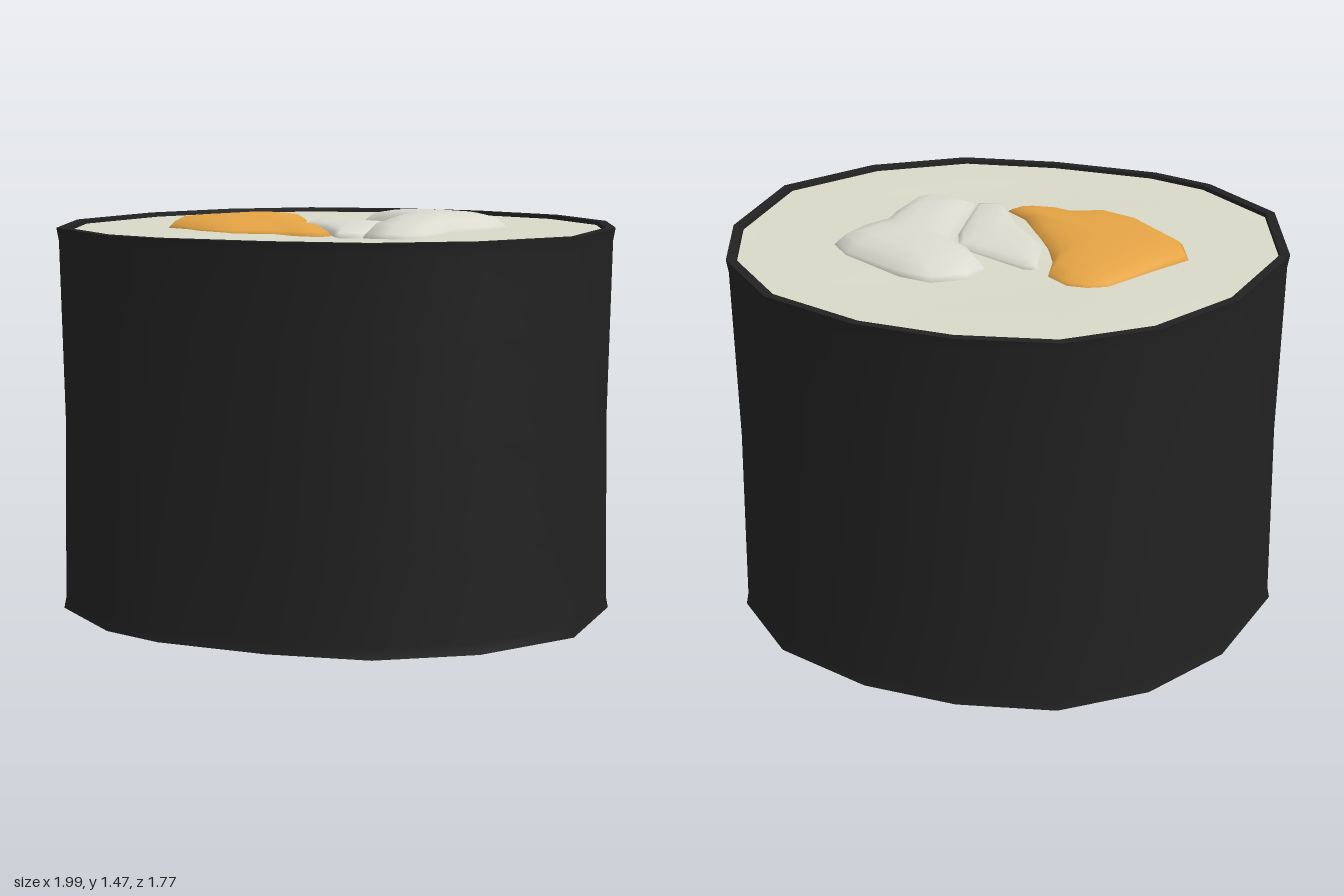
import * as THREE from 'three';
import { mergeGeometries } from 'three/addons/utils/BufferGeometryUtils.js';

const TOP = 1.425, BOTTOM = 0.05, SUM = TOP + BOTTOM; // mirror: y -> SUM - y

const wrapOutline = [
  [-0.01, -0.885], [0.33, -0.835], [0.68, -0.67], [0.91, -0.385], [0.995, -0.05], [0.945, 0.40],
  [0.68, 0.70], [0.35, 0.865], [-0.01, 0.885], [-0.41, 0.84], [-0.63, 0.75], [-0.90, 0.49],
  [-0.995, 0.07], [-0.87, -0.37], [-0.65, -0.67], [-0.36, -0.85],
];
const orangeOutline = [
  [-0.65, 0], [-0.55, -0.14], [-0.42, -0.33], [-0.35, -0.355], [-0.28, -0.345], [-0.20, -0.27],
  [-0.19, -0.14], [-0.15, -0.02], [-0.07, 0.14], [-0.01, 0.27], [0.07, 0.35], [0.04, 0.39],
  [-0.06, 0.39], [-0.14, 0.36], [-0.28, 0.40], [-0.43, 0.33], [-0.61, 0.14],
];
const narrowOutline = [
  [-0.16, -0.22], [-0.11, -0.225], [0.16, -0.08], [0.19, 0.05], [0.19, 0.39],
  [0.11, 0.41], [0.08, 0.37], [-0.01, 0.18], [-0.14, -0.01],
];
const wideOutline = [
  [0.01, -0.26], [0.06, -0.34], [0.18, -0.39], [0.30, -0.36], [0.53, -0.22], [0.60, -0.12],
  [0.55, 0], [0.47, 0.10], [0.46, 0.20], [0.41, 0.40], [0.36, 0.45], [0.28, 0.43],
  [0.19, 0.39], [0.18, -0.06], [0.06, -0.17],
];

// Joins rings of points with smooth quads; a flipped surface is mirrored to the underside
function loft(rings, flip = false) {
  const n = rings[0].length, pos = [], idx = [];
  for (const ring of rings) for (const [x, y, z] of ring) pos.push(x, flip ? SUM - y : y, z);
  const tri = (a, b, c) => (flip ? idx.push(a, c, b) : idx.push(a, b, c));
  for (let r = 0; r < rings.length - 1; r++) {
    for (let i = 0; i < n; i++) {
      const j = (i + 1) % n, a = r * n, b = a + n;
      tri(a + i, b + i, a + j);
      tri(a + j, b + i, b + j);
    }
  }
  const geo = new THREE.BufferGeometry();
  geo.setAttribute('position', new THREE.Float32BufferAttribute(pos, 3));
  geo.setIndex(idx);
  geo.computeVertexNormals();
  return geo;
}

// Outline shrunk towards a centre, at a given height
const ringAt = (outline, s, y, [cx, cz] = [0, 0]) =>
  outline.map(([x, z]) => [cx + (x - cx) * s, y, cz + (z - cz) * s]);

// Seaweed: slightly waisted wall plus a thin rim at each end
function wrapGeometry() {
  const wall = [[0.05, 1], [0.09, 0.992], [0.4, 0.987], [0.75, 0.981], [1.1, 0.987], [1.38, 0.992], [TOP, 1]];
  const parts = [loft(wall.map(([y, s]) => ringAt(wrapOutline, s, y)))];
  for (const flip of [false, true]) {
    parts.push(loft([ringAt(wrapOutline, 1, TOP), ringAt(wrapOutline, 0.965, TOP)], flip));
    parts.push(loft([ringAt(wrapOutline, 0.965, TOP), ringAt(wrapOutline, 0.96, 1.37)], flip));
  }
  return mergeGeometries(parts);
}

// Rice: nearly flat, gently uneven end surface
function riceGeometry(flip) {
  const rings = [0.966, 0.85, 0.7, 0.5, 0.3, 0.001].map((s) =>
    ringAt(wrapOutline, s, 1.41).map(([x, y, z]) => {
      const wave = s > 0.9 ? 0 : 0.008 * Math.sin(4 * x + 1) * Math.cos(7 * z);
      return [x, y + wave, z];
    }));
  return loft(rings, flip);
}

// Filling: rounded lump rising out of the rice to a low crown
function fillingGeometry(outline, centre, peak, flip) {
  const profile = [[1, 1.36], [1, 1.405], [0.95, 1.42], [0.82, 1.42 + (peak - 1.42) * 0.6],
    [0.55, peak - 0.004], [0.25, peak], [0.001, peak]];
  return loft(profile.map(([s, y]) => ringAt(outline, s, y, centre)), flip);
}

export function createModel() {
  const mat = (name, color) => {
    const m = new THREE.MeshStandardMaterial({ color });
    m.name = name;
    return m;
  };
  const seaweed = mat('seaweed black', 0x222222);
  const rice = mat('rice cream', 0xd8d9c8);
  const pale = mat('pale filling', 0xdadacf);
  const orange = mat('orange filling', 0xe5a445);

  const model = new THREE.Group();
  model.name = 'riceRoll';
  const add = (name, geometry, material) => {
    const mesh = new THREE.Mesh(geometry, material);
    mesh.name = name;
    model.add(mesh);
  };

  add('seaweedWrap', wrapGeometry(), seaweed);
  for (const flip of [false, true]) {
    const end = flip ? 'Bottom' : 'Top';
    add('rice' + end, riceGeometry(flip), rice);
    add('orangeFilling' + end, fillingGeometry(orangeOutline, [-0.33, 0.07], 1.455, flip), orange);
    add('narrowFilling' + end, fillingGeometry(narrowOutline, [0.06, 0.06], 1.44, flip), pale);
    add('wideFilling' + end, fillingGeometry(wideOutline, [0.34, -0.07], 1.47, flip), pale);
  }
  return model;
}
